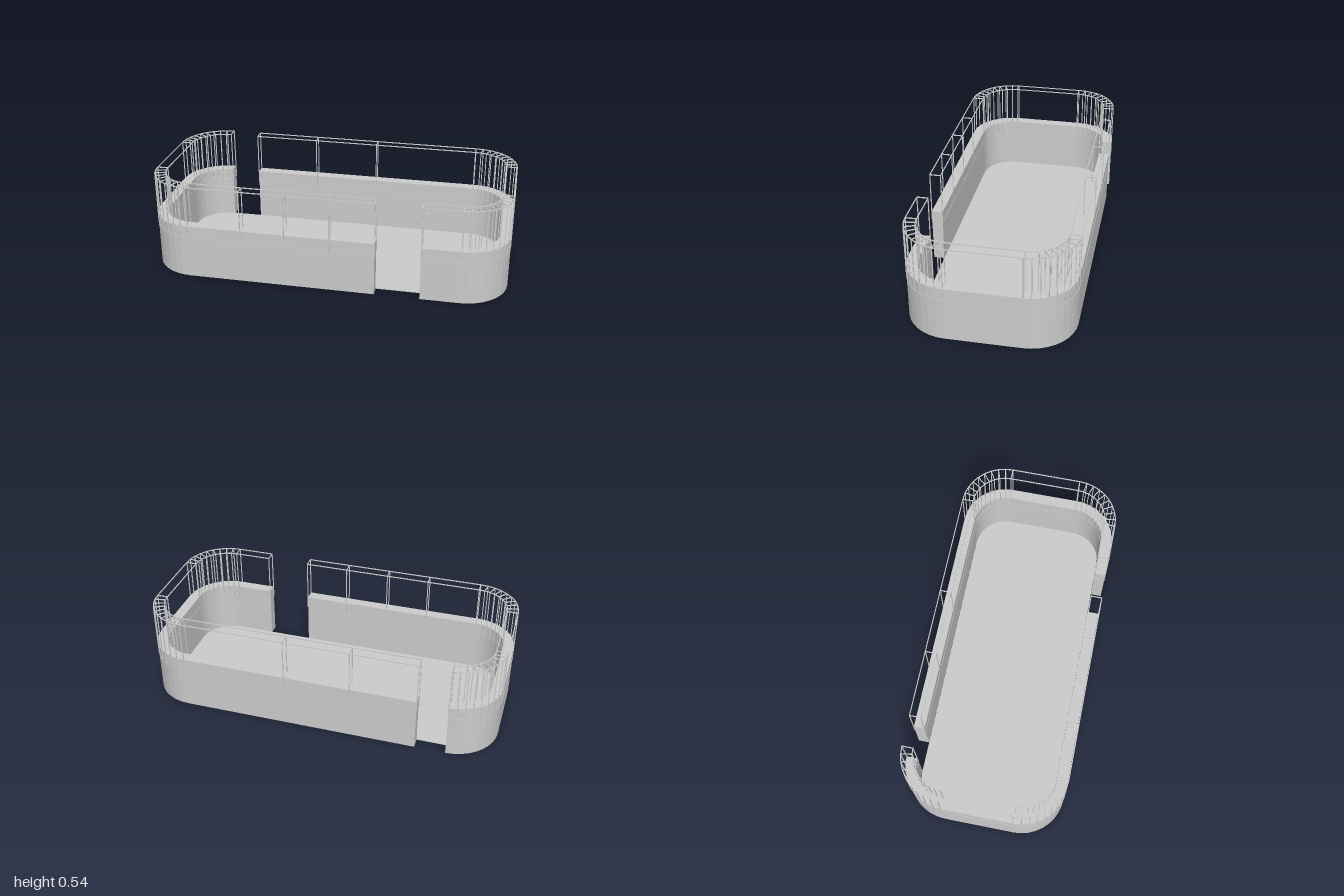
import * as THREE from 'three';

const material = new THREE.MeshStandardMaterial({ color: 0xcccccc, flatShading: true });
const HX = 0.75, HZ = 0.2, R = 0.25;      // corner centres and outer radius
const WALL_TOP = 0.305, RAIL_LOW = 0.237, RAIL_TOP = 0.54, BAR = 0.005;

// Each station on the outline gives a point at a chosen inset from the outer edge.
const straight = (x, side) => (inset) => new THREE.Vector2(x, side * (HZ + R - inset));

function corner(sx, sz, fromDeg, toDeg) {
  const stations = [];
  for (let i = 0; i <= 9; i++) {
    const a = THREE.MathUtils.degToRad(fromDeg + ((toDeg - fromDeg) * i) / 9);
    stations.push((inset) => new THREE.Vector2(
      sx * HX + (R - inset) * Math.cos(a),
      sz * HZ + (R - inset) * Math.sin(a)));
  }
  return stations;
}

// Upright prism from an outline given in x and z
function prism(points, height, name) {
  const shape = new THREE.Shape(points.map((p) => new THREE.Vector2(p.x, -p.y)));
  const geometry = new THREE.ExtrudeGeometry(shape, { depth: height, bevelEnabled: false });
  geometry.rotateX(-Math.PI / 2);
  const mesh = new THREE.Mesh(geometry, material);
  mesh.name = name;
  return mesh;
}

// Thin square bar between two points
function bar(a, b, name) {
  const mesh = new THREE.Mesh(new THREE.BoxGeometry(BAR, BAR, a.distanceTo(b) + BAR * 0.4), material);
  mesh.position.copy(a).add(b).multiplyScalar(0.5);
  mesh.lookAt(b);
  mesh.name = name;
  return mesh;
}

const at = (p, y) => new THREE.Vector3(p.x, y, p.y);

// Low wall with a double-sided frame of posts and rails standing on it
function barrier(stations, name) {
  const group = new THREE.Group();
  group.name = name;
  const outline = [
    ...stations.map((s) => s(0.002)),
    ...stations.map((s) => s(0.063)).reverse(),
  ];
  group.add(prism(outline, WALL_TOP, 'wall'));

  const top = RAIL_TOP - BAR / 2;
  const insets = [0.0025, 0.0625];
  stations.forEach((station, i) => {
    const next = stations[i + 1];
    for (const inset of insets) {
      const p = station(inset);
      group.add(bar(at(p, RAIL_LOW), at(p, top), 'post'));
      if (!next) continue;
      const q = next(inset);
      group.add(bar(at(p, top), at(q, top), 'topRail'));
      group.add(bar(at(p, RAIL_LOW), at(q, RAIL_LOW), 'lowerRail'));
    }
    group.add(bar(at(station(insets[0]), top), at(station(insets[1]), top), 'crossBar'));
  });
  return group;
}

export function createModel() {
  const model = new THREE.Group();
  model.name = 'rink';

  const frontLeft = corner(1, 1, 90, 0);
  const backLeft = corner(1, -1, 0, -90);
  const backRight = corner(-1, -1, -90, -180);
  const frontRight = corner(-1, 1, 180, 90);

  // Floor reaching to the inner face of the walls
  const floorOutline = [...frontLeft, ...backLeft, ...backRight, ...frontRight].map((s) => s(0.064));
  model.add(prism(floorOutline, 0.004, 'floor'));

  // Two barrier runs, leaving one gateway at the front and one at the back
  model.add(barrier([
    straight(0.54, 1), ...frontLeft, ...backLeft,
    ...[0.16, -0.21, -0.58].map((x) => straight(x, -1)),
  ], 'leftBarrier'));
  model.add(barrier([
    ...backRight, ...frontRight,
    ...[-0.45, -0.205, 0.045, 0.292].map((x) => straight(x, 1)),
  ], 'rightBarrier'));

  return model;
}
